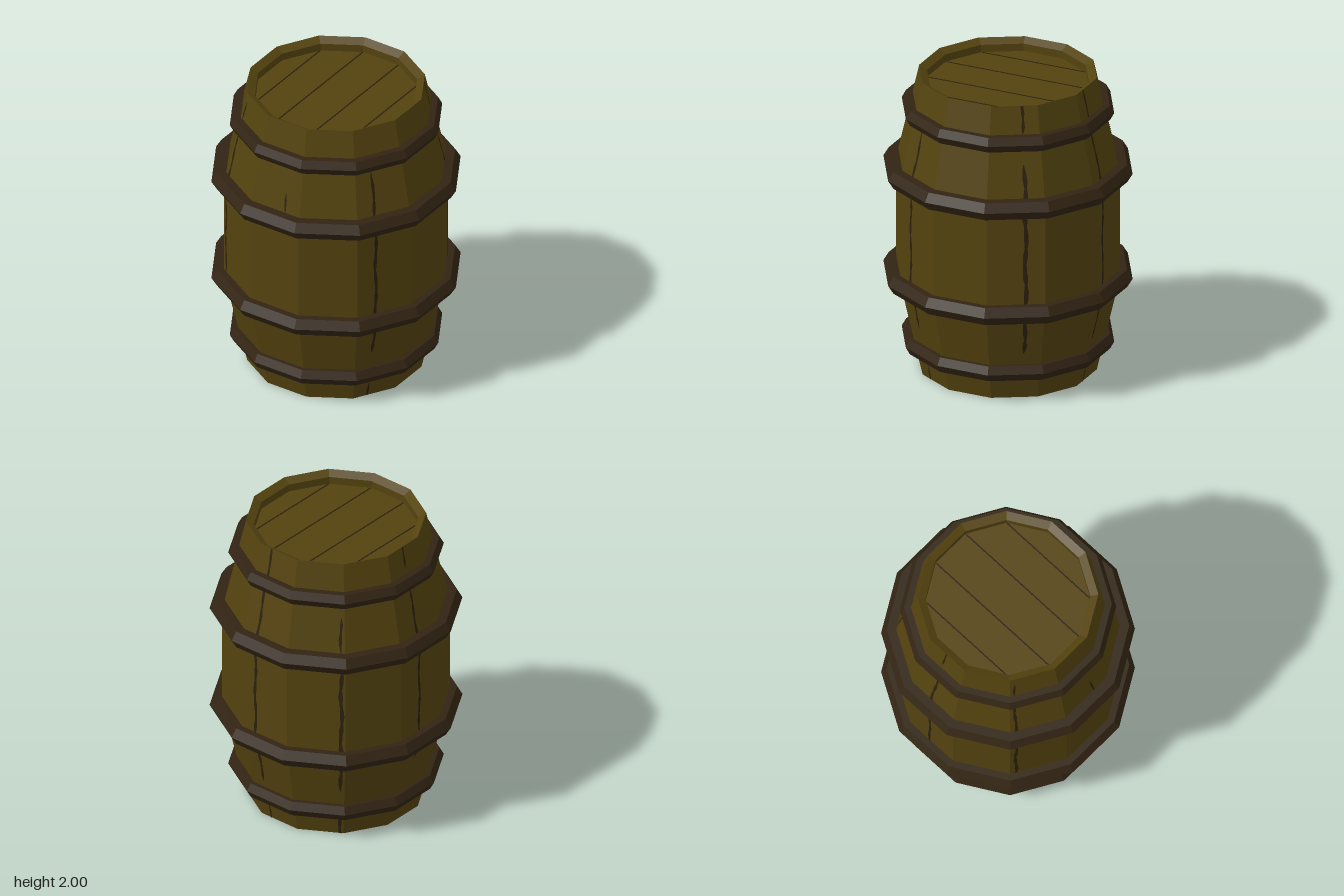
import * as THREE from 'three';

const SIDES = 12;
const HEAD_R = 0.52;

export function createModel() {
  const barrel = new THREE.Group();
  barrel.name = 'barrel';

  const wood = new THREE.MeshStandardMaterial({ color: 0x54430f });
  wood.name = 'olive wood';
  const hoopWood = new THREE.MeshStandardMaterial({ color: 0x322413 });
  hoopWood.name = 'dark hoop';
  const crackDark = new THREE.MeshStandardMaterial({ color: 0x2c200f });
  crackDark.name = 'dark crack';

  const add = (name, geometry, material) => {
    const mesh = new THREE.Mesh(geometry, material);
    mesh.name = name;
    barrel.add(mesh);
    return mesh;
  };

  // Twelve-sided faceted solid of revolution
  const facetedLathe = (profile) => {
    const points = profile.map(([r, y]) => new THREE.Vector2(r, y));
    const geometry = new THREE.LatheGeometry(points, SIDES).toNonIndexed();
    geometry.computeVertexNormals();
    return geometry;
  };

  // Stave wall with a bevelled rim and a recess at both ends
  add('staves', facetedLathe([
    [HEAD_R, 0.08], [HEAD_R, 0.03], [0.57, 0], [0.72, 0.65],
    [0.72, 1.35], [0.57, 2], [HEAD_R, 1.97], [HEAD_R, 1.92],
  ]), wood);

  // Hoops: height of the middle, half height, edge radius, ridge radius
  const hoops = [
    ['lowerEndHoop', 0.2, 0.05, 0.655, 0.682],
    ['lowerBellyHoop', 0.64, 0.058, 0.765, 0.8],
    ['upperBellyHoop', 1.36, 0.058, 0.765, 0.8],
    ['upperEndHoop', 1.77, 0.05, 0.655, 0.682],
  ];
  for (const [name, y, half, edge, ridge] of hoops) {
    add(name, facetedLathe([
      [0.58, y - half], [edge, y - half], [ridge, y], [edge, y + half], [0.58, y + half],
    ]), hoopWood);
  }

  // Recessed heads with slanted plank seams
  for (const [name, y, up] of [['topHead', 1.92, 1], ['bottomHead', 0.08, -1]]) {
    const head = add(name, new THREE.CircleGeometry(HEAD_R, SIDES), wood);
    head.rotation.x = -up * Math.PI / 2;
    head.position.y = y;

    const seams = new THREE.Group();
    seams.name = name + 'Seams';
    seams.position.y = y;
    seams.rotation.y = Math.PI / 12;
    for (const offset of [-0.368, -0.135, 0.135, 0.368]) {
      const length = 2 * Math.sqrt(HEAD_R ** 2 - offset ** 2) - 0.01;
      const seam = new THREE.Mesh(new THREE.BoxGeometry(length, 0.004, 0.009), crackDark);
      seam.name = 'plankSeam';
      seam.position.z = offset;
      seams.add(seam);
    }
    barrel.add(seams);
  }

  // Point on the faceted wall at a given angle and height
  const wallPoint = (angle, y) => {
    const step = Math.PI * 2 / SIDES;
    const local = ((angle % step) + step) % step - step / 2;
    const corner = Math.min(0.72, 0.57 + Math.min(y, 2 - y) * 0.15 / 0.65);
    const r = corner * Math.cos(step / 2) / Math.cos(local) + 0.003;
    return [r * Math.sin(angle), y, r * Math.cos(angle)];
  };

  // Ragged ribbon that follows the wall, tapering at its open ends
  const crackGeometry = (degrees, from, to, width) => {
    const positions = [];
    const index = [];
    const rows = Math.max(2, Math.round((to - from) / 0.05));
    for (let i = 0; i <= rows; i++) {
      const y = from + (to - from) * i / rows;
      const tapered = (i === 0 && from > 0) || (i === rows && to < 2);
      const half = (tapered ? 0.15 : 0.75 + 0.25 * Math.sin(i * 2.4 + degrees)) * width / 2;
      const drift = 0.005 * Math.sin(i * 0.9 + degrees);
      const angle = THREE.MathUtils.degToRad(degrees);
      positions.push(...wallPoint(angle + (drift - half) / 0.7, y));
      positions.push(...wallPoint(angle + (drift + half) / 0.7, y));
      if (i < rows) {
        const a = i * 2;
        index.push(a, a + 1, a + 3, a, a + 3, a + 2);
      }
    }
    const geometry = new THREE.BufferGeometry();
    geometry.setAttribute('position', new THREE.Float32BufferAttribute(positions, 3));
    geometry.setIndex(index);
    geometry.computeVertexNormals();
    return geometry;
  };

  // Cracks between staves: angle from the front, start, end, width
  const cracks = [
    [-20, 0, 0.1, 0.022], [-20, 0.37, 1.72, 0.026],
    [50, 0.33, 1.63, 0.034], [50, 1.82, 2, 0.028],
    [99, 0, 0.12, 0.02], [99, 0.3, 2, 0.026],
    [148, 0, 0.15, 0.03], [148, 0.36, 1.3, 0.03], [148, 1.42, 1.65, 0.024],
    [194, 0.48, 1.72, 0.024], [194, 1.86, 2, 0.02],
    [243, 0.58, 1.72, 0.024], [243, 1.82, 1.95, 0.02],
    [291, 1.4, 1.55, 0.02],
  ];
  for (const crack of cracks) add('staveCrack', crackGeometry(...crack), crackDark);

  return barrel;
}
